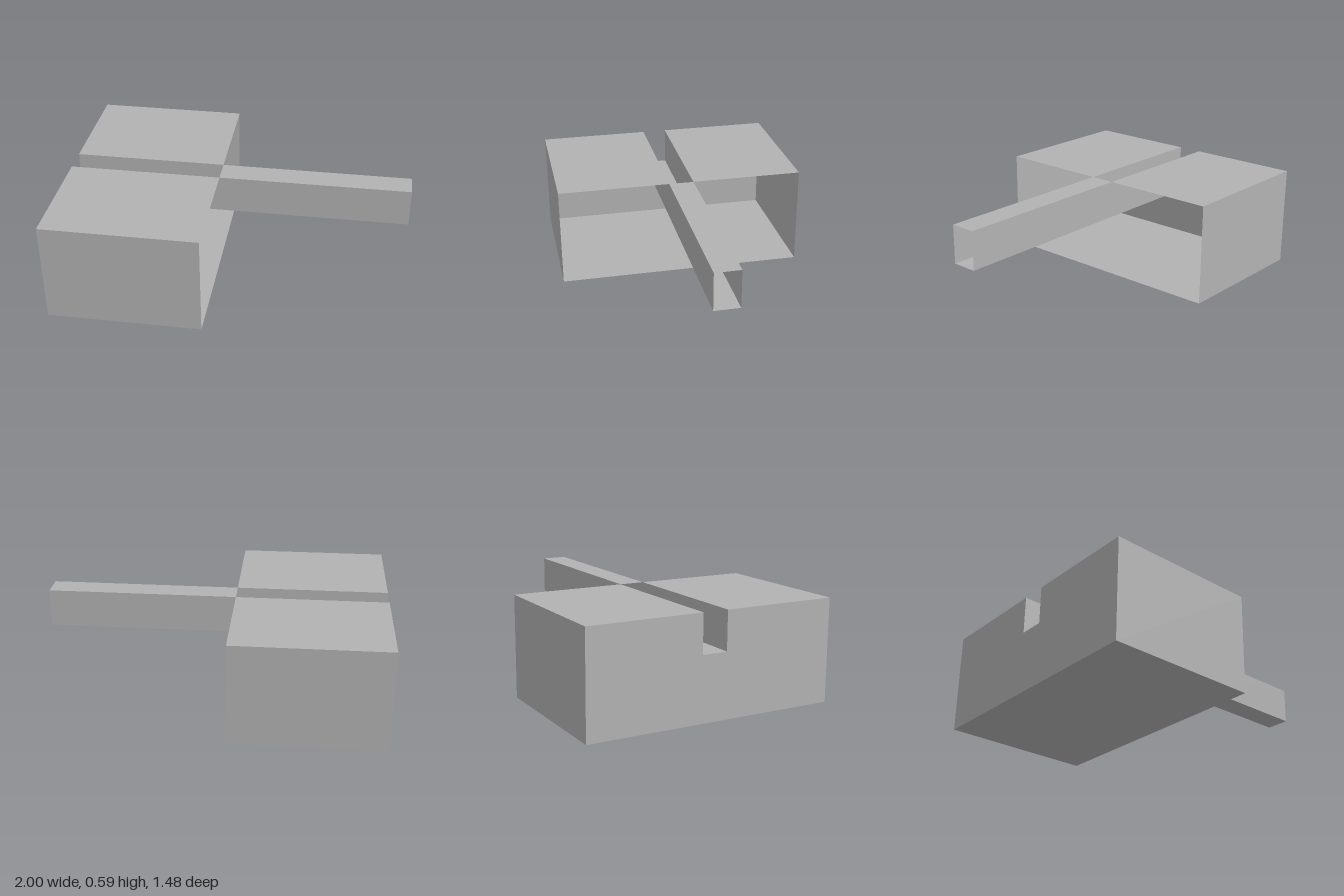
import * as THREE from 'three';

// The design sits on a regular module: 27 units long, 20 wide, 8 high
const U = 2 / 27;

// Thin shell walls: a cross-section swept along x with both ends left open
function openSweep(shape, x0, x1) {
  const solid = new THREE.ExtrudeGeometry(shape, { depth: x1 - x0, bevelEnabled: false });
  const start = solid.groups[1].start; // side walls only, end caps dropped
  const walls = new THREE.BufferGeometry();
  for (const name of ['position', 'normal', 'uv']) {
    const a = solid.attributes[name];
    walls.setAttribute(name, new THREE.BufferAttribute(a.array.slice(start * a.itemSize), a.itemSize));
  }
  return walls.rotateY(Math.PI / 2).translate(x0, 0, 0);
}

function section(points) {
  return new THREE.Shape(points.map(([z, y]) => new THREE.Vector2(z * U, y * U)));
}

export function createModel() {
  const group = new THREE.Group();
  const grey = new THREE.MeshStandardMaterial({ color: 0xb2b2b2, side: THREE.DoubleSide });
  grey.name = 'plain grey';

  const add = (name, geometry) => {
    const mesh = new THREE.Mesh(geometry, grey);
    mesh.name = name;
    group.add(mesh);
  };

  const joint = -1 + 12 * U; // where the body ends and the barrel begins

  // Body: block with a slot along the top, hollow and open towards +x
  const body = section([[-10, 0], [10, 0], [10, 8], [1, 8], [1, 5], [-1, 5], [-1, 8], [-10, 8]]);
  add('bodyWalls', openSweep(body, -1, joint));

  // Notched end wall closing the body at -x
  add('bodyEndWall', new THREE.ShapeGeometry(body).rotateY(-Math.PI / 2).translate(-1, 0, 0));

  // Barrel: rectangular tube continuing the slot, open at both ends
  const barrel = section([[-1, 5], [1, 5], [1, 8], [-1, 8]]);
  add('barrel', openSweep(barrel, joint, 1));

  return group;
}
